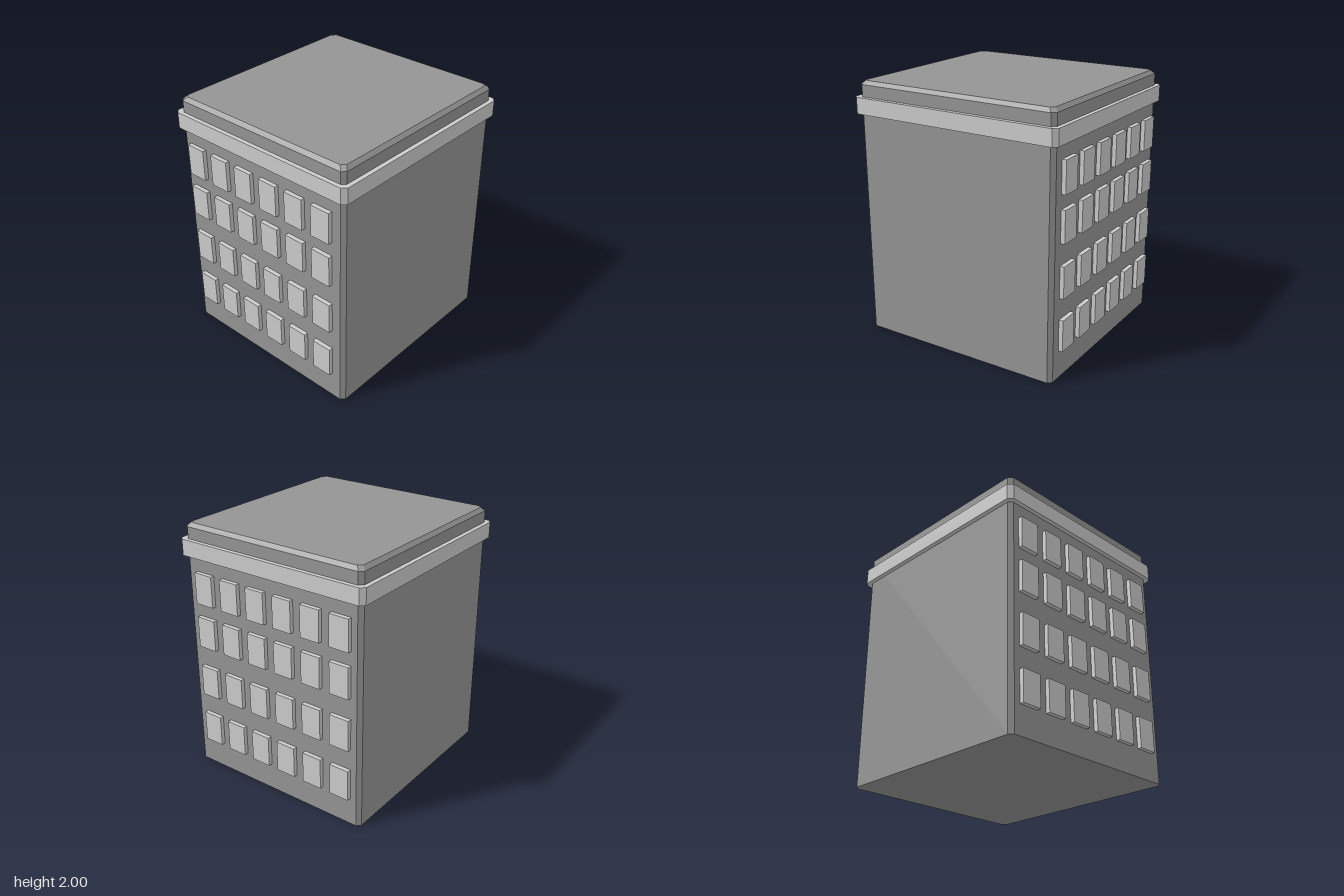
import * as THREE from 'three';

const trimMaterial = new THREE.MeshStandardMaterial({ color: 0xcccccc, flatShading: true });
const wallMaterial = new THREE.MeshStandardMaterial({ color: 0x949494, flatShading: true });

// Rectangle in plan with its four corners cut off
function cutCornerRect(halfX, halfZ, cut) {
  const a = halfX - cut, b = halfZ - cut;
  return new THREE.Shape([
    [a, -halfZ], [halfX, -b], [halfX, b], [a, halfZ],
    [-a, halfZ], [-halfX, b], [-halfX, -b], [-a, -halfZ],
  ].map(([x, y]) => new THREE.Vector2(x, y)));
}

// Upright cut-corner prism; the top edge can be bevelled inwards
function prism(name, material, halfX, halfZ, cut, bottom, top, bevel = 0) {
  const geometry = new THREE.ExtrudeGeometry(cutCornerRect(halfX, halfZ, cut), {
    depth: top - bottom, steps: bevel ? 2 : 1, bevelEnabled: false,
  });
  geometry.rotateX(-Math.PI / 2).translate(0, bottom, 0);
  if (bevel) {
    // Middle ring moves up to the bevel line, top ring shrinks
    const p = geometry.attributes.position;
    const middle = (bottom + top) / 2;
    for (let i = 0; i < p.count; i++) {
      const y = p.getY(i);
      if (Math.abs(y - middle) < 0.01) p.setY(i, top - bevel);
      else if (y > middle) {
        p.setX(i, p.getX(i) * (halfX - bevel) / halfX);
        p.setZ(i, p.getZ(i) * (halfZ - bevel) / halfZ);
      }
    }
    geometry.computeVertexNormals();
  }
  const mesh = new THREE.Mesh(geometry, material);
  mesh.name = name;
  return mesh;
}

export function createModel() {
  const group = new THREE.Group();
  group.name = 'building';

  // Main block and the cornice band around its top
  group.add(prism('walls', wallMaterial, 0.788, 0.83, 0.03, 0, 2, 0.028));
  group.add(prism('cornice', trimMaterial, 0.822, 0.863, 0.033, 1.755, 1.88));

  // Raised window panels, four rows of six on the front and back
  const paneGeometry = new THREE.BoxGeometry(0.162, 0.245, 0.053);
  const rows = [0.343, 0.755, 1.167, 1.521];
  for (const side of [1, -1]) {
    const windows = new THREE.Group();
    windows.name = side > 0 ? 'frontWindows' : 'backWindows';
    for (const y of rows) {
      for (let column = 0; column < 6; column++) {
        const pane = new THREE.Mesh(paneGeometry, trimMaterial);
        pane.name = 'window';
        pane.position.set(-0.627 + column * 0.246, y, side * 0.8365);
        windows.add(pane);
      }
    }
    group.add(windows);
  }
  return group;
}
